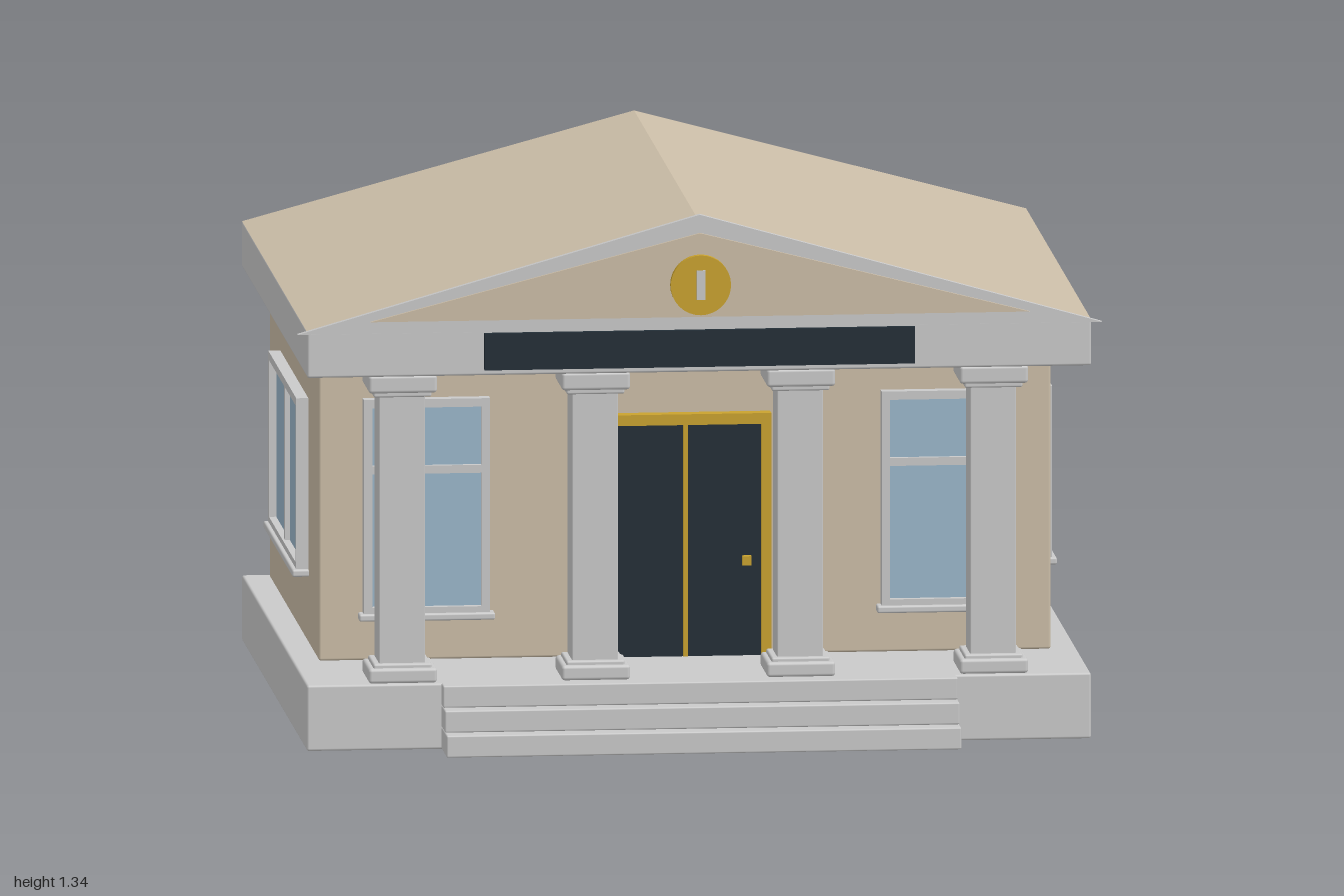
import * as THREE from 'three';
import { RoundedBoxGeometry } from 'three/addons/geometries/RoundedBoxGeometry.js';

const mat = (name, color) => {
  const m = new THREE.MeshStandardMaterial({ color });
  m.name = name;
  return m;
};

export function createModel() {
  const stone = mat('pale stone', 0xc9c9c9);
  const tan = mat('tan plaster', 0xcbbda7);
  const navy = mat('dark navy', 0x222d36);
  const gold = mat('gold', 0xc9a22e);
  const glass = mat('window glass', 0x9ab6ca);

  const model = new THREE.Group();
  model.name = 'columnedBuilding';

  const add = (parent, name, geometry, material) => {
    const mesh = new THREE.Mesh(geometry, material);
    mesh.name = name;
    parent.add(mesh);
    return mesh;
  };
  // Box given by its limits on each axis, with an optional softened edge
  const box = (parent, name, material, [x0, x1], [y0, y1], [z0, z1], bevel = 0) => {
    const size = [x1 - x0, y1 - y0, z1 - z0];
    const geometry = bevel
      ? new RoundedBoxGeometry(...size, 2, bevel)
      : new THREE.BoxGeometry(...size);
    geometry.translate((x0 + x1) / 2, (y0 + y1) / 2, (z0 + z1) / 2);
    return add(parent, name, geometry, material);
  };
  // Triangular prism running along z
  const gable = (name, material, halfWidth, y0, y1, z0, z1) => {
    const shape = new THREE.Shape([
      new THREE.Vector2(-halfWidth, y0),
      new THREE.Vector2(halfWidth, y0),
      new THREE.Vector2(0, y1),
    ]);
    const geometry = new THREE.ExtrudeGeometry(shape, { depth: z1 - z0, bevelEnabled: false });
    geometry.translate(0, 0, z0);
    return add(model, name, geometry, material);
  };

  // Main masses
  box(model, 'plinth', stone, [-0.975, 0.975], [0, 0.165], [-0.885, 0.76], 0.006);
  box(model, 'walls', tan, [-0.91, 0.91], [0.165, 0.938], [-0.84, 0.4], 0.006);
  box(model, 'entablature', stone, [-0.975, 0.975], [0.938, 1.053], [-0.885, 0.77], 0.006);
  gable('roof', tan, 0.975, 1.053, 1.315, -0.885, 0.768);

  // Front steps
  for (let i = 0; i < 3; i++) {
    box(model, 'step', stone, [-0.64, 0.64], [i * 0.055, (i + 1) * 0.055], [0.74, 0.89 - i * 0.045], 0.004);
  }

  // Pediment, sign board and medallion
  gable('pedimentFrame', stone, 1, 1.05, 1.335, 0.768, 0.785);
  gable('pedimentPanel', tan, 0.82, 1.08, 1.29, 0.784, 0.793);
  box(model, 'signBoard', navy, [-0.535, 0.535], [0.953, 1.045], [0.765, 0.785]);
  const disc = new THREE.CylinderGeometry(0.075, 0.075, 0.024, 32);
  disc.rotateX(Math.PI / 2).translate(0, 1.162, 0.798);
  add(model, 'medallion', disc, gold);
  box(model, 'medallionBar', stone, [-0.011, 0.011], [1.126, 1.2], [0.805, 0.816]);

  // Square columns
  for (const x of [-0.735, -0.255, 0.255, 0.735]) {
    const column = new THREE.Group();
    column.name = 'column';
    column.position.set(x, 0, 0.667);
    model.add(column);
    const block = (name, half, y, bevel) =>
      box(column, name, stone, [-half, half], y, [-half, half], bevel);
    block('columnFoot', 0.085, [0.165, 0.202], 0.008);
    block('columnFootTrim', 0.072, [0.195, 0.212], 0.005);
    block('columnShaft', 0.057, [0.2, 0.9], 0.003);
    block('columnCapTrim', 0.072, [0.881, 0.9], 0.005);
    block('columnCap', 0.085, [0.893, 0.938], 0.008);
  }

  // Window in a local frame: z = 0 is the wall, +z points outward
  const windowUnit = (name, half, y0, y1, pane) => {
    const w = new THREE.Group();
    w.name = name;
    const t = 0.021;
    box(w, 'glass', glass, [-half + t, half - t], [y0, y1 - t], [0.004, 0.012]);
    for (const s of [-1, 1]) {
      const a = s * half, b = s * (half - t);
      box(w, 'frameSide', stone, [Math.min(a, b), Math.max(a, b)], [y0, y1], [-0.005, 0.03]);
    }
    box(w, 'frameTop', stone, [-half, half], [y1 - t, y1], [-0.005, 0.03]);
    box(w, 'frameBottom', stone, [-half, half], [y0, y0 + t], [-0.005, 0.03]);
    box(w, 'sill', stone, [-half - 0.012, half + 0.012], [y0 - 0.012, y0 + 0.006], [-0.005, 0.041], 0.005);
    pane(w);
    model.add(w);
    return w;
  };

  for (const s of [-1, 1]) {
    const front = windowUnit('frontWindow', 0.157, 0.28, 0.823, (w) =>
      box(w, 'transom', stone, [-0.14, 0.14], [0.635, 0.655], [0, 0.024]));
    front.position.set(s * 0.644, 0, 0.4);

    const side = windowUnit('sideWindow', 0.355, 0.345, 0.78, (w) =>
      box(w, 'mullion', stone, [-0.01, 0.01], [0.36, 0.77], [0, 0.024]));
    side.position.set(s * 0.91, 0, -0.221);
    side.rotation.y = s * Math.PI / 2;
  }

  // Double entrance door
  const door = new THREE.Group();
  door.name = 'entrance';
  model.add(door);
  box(door, 'doorLeaves', navy, [-0.19, 0.19], [0.165, 0.75], [0.39, 0.418]);
  box(door, 'doorHead', gold, [-0.212, 0.212], [0.748, 0.775], [0.39, 0.435]);
  box(door, 'leftJamb', gold, [0.188, 0.212], [0.165, 0.75], [0.39, 0.435]);
  box(door, 'rightJamb', gold, [-0.212, -0.188], [0.165, 0.75], [0.39, 0.435]);
  box(door, 'meetingStrip', gold, [-0.006, 0.006], [0.165, 0.75], [0.41, 0.424]);
  box(door, 'doorHandle', gold, [0.14, 0.163], [0.393, 0.416], [0.41, 0.434]);

  return model;
}
